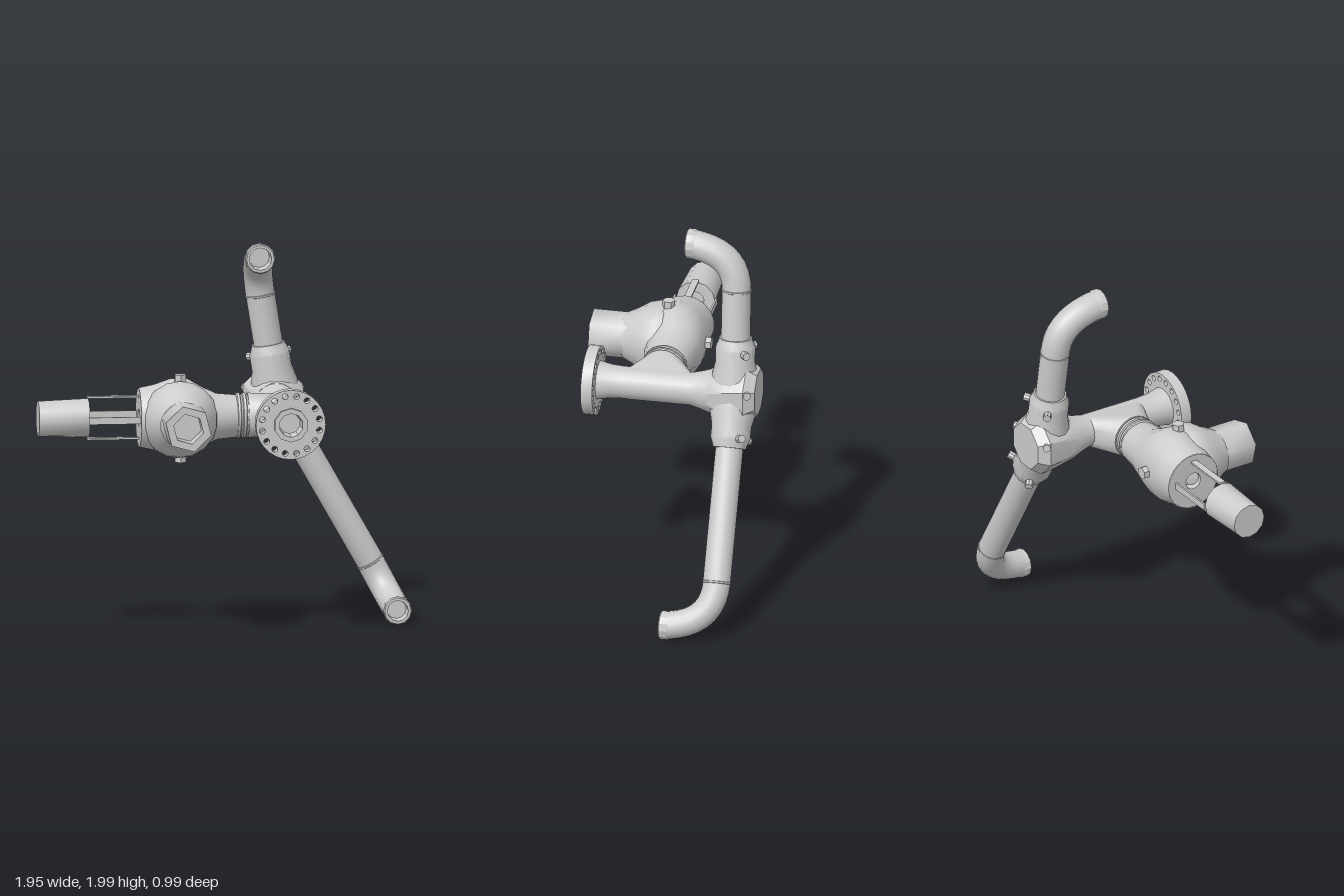
import * as THREE from 'three';
import { toCreasedNormals } from 'three/addons/utils/BufferGeometryUtils.js';
import { ConvexGeometry } from 'three/addons/geometries/ConvexGeometry.js';

const V = (x, y, z) => new THREE.Vector3(x, y, z);
const UP = V(0, 1, 0), X = V(1, 0, 0), Z = V(0, 0, 1);

export function createModel() {
  const model = new THREE.Group();
  model.name = 'branchedValveManifold';
  const mat = new THREE.MeshStandardMaterial({ color: 0xcccccc, side: THREE.DoubleSide });

  const add = (name, geo, crease = 0.6) => {
    const mesh = new THREE.Mesh(crease ? toCreasedNormals(geo, crease) : geo, mat);
    mesh.name = name;
    model.add(mesh);
    return mesh;
  };

  // Turned part: profile of [radius, distance] pairs along dir from origin
  const turned = (name, profile, origin, dir, sides = 20, crease = 0.6) => {
    const geo = new THREE.LatheGeometry(profile.map(p => new THREE.Vector2(...p)), sides);
    const mesh = add(name, geo, crease);
    mesh.quaternion.setFromUnitVectors(UP, dir.clone().normalize());
    mesh.position.copy(origin);
    return mesh;
  };

  // Ring of points around an axis, for hulls
  const ring = (c, u, v, r, n = 16) => Array.from({ length: n }, (_, i) => {
    const a = (i + 0.5) / n * Math.PI * 2;
    return c.clone().addScaledVector(u, r * Math.cos(a)).addScaledVector(v, r * Math.sin(a));
  });

  // Actuator barrel with a bored inner face
  turned('actuator', [[0, 0], [0.092, 0], [0.102, 0.26], [0.045, 0.26], [0.045, 0.2], [0, 0.2]],
    V(-0.98, 1.14, 0.06), X, 12);

  // Four flat yoke bars
  for (let i = 0; i < 4; i++) {
    const a = i * Math.PI / 2;
    const bar = add('yokeBar', new THREE.BoxGeometry(0.27, 0.01, 0.036));
    bar.position.set(-0.592, 1.14 + 0.108 * Math.cos(a), 0.06 + 0.108 * Math.sin(a));
    bar.rotation.x = a;
  }

  // Valve body: oval cross-sections [x, half height, half depth, centre z]
  const sections = [[-0.46, 0.155, 0.15, 0.055], [-0.38, 0.172, 0.155, 0.06], [-0.30, 0.2, 0.16, 0.062],
    [-0.21, 0.2, 0.16, 0.062], [-0.14, 0.158, 0.15, 0.06], [-0.06, 0.12, 0.132, 0.058], [0.045, 0.11, 0.115, 0.056]];
  const sides = 18, pos = [], idx = [];
  sections.forEach(([x, ry, rz, cz], s) => {
    for (let i = 0; i < sides; i++) {
      const a = i / sides * Math.PI * 2;
      pos.push(x, 1.137 + ry * Math.cos(a), cz + rz * Math.sin(a));
      if (s) {
        const p = (s - 1) * sides, j = (i + 1) % sides;
        idx.push(p + i, p + sides + i, p + j, p + j, p + sides + i, p + sides + j);
      }
    }
  });
  const body = new THREE.BufferGeometry();
  body.setAttribute('position', new THREE.Float32BufferAttribute(pos, 3));
  // reverse the winding so the faces look outwards
  for (let k = 0; k < idx.length; k += 3) [idx[k + 1], idx[k + 2]] = [idx[k + 2], idx[k + 1]];
  body.setIndex(idx);
  body.computeVertexNormals();
  const outward = body.getAttribute('normal').getY(0) > 0;
  if (!outward) { body.setIndex(idx.reverse()); body.computeVertexNormals(); }
  add('valveBody', body, 0.7);
  turned('valveEndFace', [[0, 0.05], [0.045, 0.05], [0.045, 0], [0.152, 0]].reverse(),
    V(-0.459, 1.137, 0.056), X, 18);

  // Side inlet: flare, then a six-sided spigot with a six-sided bore
  turned('inletFlare', [[0.13, -0.06], [0.18, 0], [0.2, 0.07], [0.185, 0.13], [0.15, 0.185], [0.118, 0.25]],
    V(-0.257, 1.137, 0.08), Z, 18, 0.8);
  turned('inletSpigot', [[0.122, 0], [0.122, 0.22], [0.08, 0.22], [0.08, 0.12], [0, 0.12]],
    V(-0.25, 1.142, 0.28), Z, 6, 1.1).rotateY(0.25);

  // Plugs on the valve body
  for (const [o, d] of [[V(-0.25, 1.29, 0.1), UP], [V(-0.25, 0.985, 0.1), V(0, -1, 0)], [V(-0.25, 1.14, -0.05), V(0, 0, -1)]])
    turned('bodyPlug', [[0.033, 0], [0.033, 0.075], [0, 0.075]], o, d, 6, 0.3);

  // Grooved coupling between valve and tee
  turned('coupling', [[0.108, 0], [0.117, 0.005], [0.117, 0.018], [0.107, 0.022], [0.107, 0.03], [0.117, 0.034],
    [0.117, 0.048], [0.107, 0.052], [0.107, 0.064]], V(0.04, 1.14, 0.056), X, 20, 0.4);

  // Tee blending the horizontal neck into the cross pipe
  add('tee', new ConvexGeometry([
    ...ring(V(0.1, 1.14, 0.056), UP, Z, 0.115, 18),
    ...ring(V(0.14, 1.14, 0.056), UP, Z, 0.11, 18),
    ...ring(V(0.282, 1.14, -0.12), X, UP, 0.083),
    ...ring(V(0.282, 1.14, 0.2), X, UP, 0.083)]), 0.6);
  turned('crossPipe', [[0.12, 0], [0.1, 0.06], [0.085, 0.12], [0.084, 0.48], [0.088, 0.54], [0.102, 0.61]],
    V(0.283, 1.143, -0.25), Z, 20, 0.7);

  // Bolted flange
  const disc = new THREE.Shape().absarc(0, 0, 0.18, 0, Math.PI * 2);
  const hole = (x, y, r) => disc.holes.push(new THREE.Path().absarc(x, y, r, 0, Math.PI * 2, true));
  hole(0, 0, 0.06);
  for (let i = 0; i < 16; i++) {
    const a = (i + 0.5) / 16 * Math.PI * 2;
    hole(0.15 * Math.cos(a), 0.15 * Math.sin(a), 0.015);
  }
  add('flange', new THREE.ExtrudeGeometry(disc, { depth: 0.06, bevelEnabled: false, curveSegments: 14 }))
    .position.set(0.287, 1.142, 0.353);
  turned('flangeHub', [[0.088, 0], [0.088, 0.018], [0.062, 0.018], [0.055, -0.06], [0, -0.06]],
    V(0.287, 1.142, 0.413), Z, 10, 0.5);

  // Y junction behind the cross pipe
  const centre = V(0.3, 1.15, -0.36);
  add('junctionBlock', new ConvexGeometry([
    ...ring(V(0.283, 1.145, -0.23), X, UP, 0.115, 12),
    ...ring(V(0.295, 1.15, -0.32), X, UP, 0.15, 8),
    ...ring(V(0.285, 1.16, -0.43), X, UP, 0.165, 8),
    ...ring(V(0.285, 1.16, -0.485), X, UP, 0.125, 8)]), 0.35);

  // Two branches: sleeve, straight pipe, elbow towards the front, socketed end
  const branches = [
    { knee: V(0.213, 1.70, -0.353), bend: V(0.187, 1.90, -0.352), end: V(0.185, 1.925, -0.1), r: 0.076, sleeve: 0.3 },
    { knee: V(0.783, 0.30, -0.368), bend: V(0.885, 0.105, -0.368), end: V(0.895, 0.085, -0.11), r: 0.072, sleeve: 0.285 }];
  for (const { knee, bend, end, r, sleeve } of branches) {
    const dir = knee.clone().sub(centre).normalize();
    turned('branchSleeve', [[0.125, 0], [0.12, 0.1], [0.104, 0.17], [0.104, sleeve - 0.05], [0.09, sleeve - 0.015],
      [0.086, sleeve], [r, sleeve]], centre, dir, 16, 0.5);
    const length = knee.distanceTo(centre);
    turned('branchPipe', [[r, 0.1], [r, length]], centre, dir, 18);
    turned('weldBand', [[r, -0.006], [r + 0.003, -0.004], [r + 0.003, 0.004], [r, 0.006]], knee, dir, 18);
    add('branchElbow', new THREE.TubeGeometry(new THREE.QuadraticBezierCurve3(knee, bend, end), 10, r, 16), 0.7);
    turned('elbowEnd', [[r, -0.035], [r + 0.002, -0.03], [r + 0.002, 0.008], [r - 0.004, 0.014], [r - 0.018, 0.014],
      [r - 0.022, -0.06], [0, -0.06]], end, Z, 12, 0.5);

    // Bolts on both rear flanks of the sleeve
    const side = new THREE.Vector3().crossVectors(dir, Z).normalize();
    for (const s of [-1, 1]) {
      const out = side.clone().multiplyScalar(s).add(V(0, 0, -0.75)).normalize();
      turned('sleeveBolt', [[0.021, 0], [0.021, 0.055], [0, 0.055]],
        centre.clone().addScaledVector(dir, 0.235).addScaledVector(out, 0.08), out, 8, 0.5);
    }
  }

  // Bolts on the flanks of the junction block
  for (const s of [-1, 1])
    turned('junctionBolt', [[0.021, 0], [0.021, 0.06], [0, 0.06]],
      V(0.285 + s * 0.1, 1.2, -0.425), V(s, 0.1, -0.55), 8, 0.5);

  return model;
}
